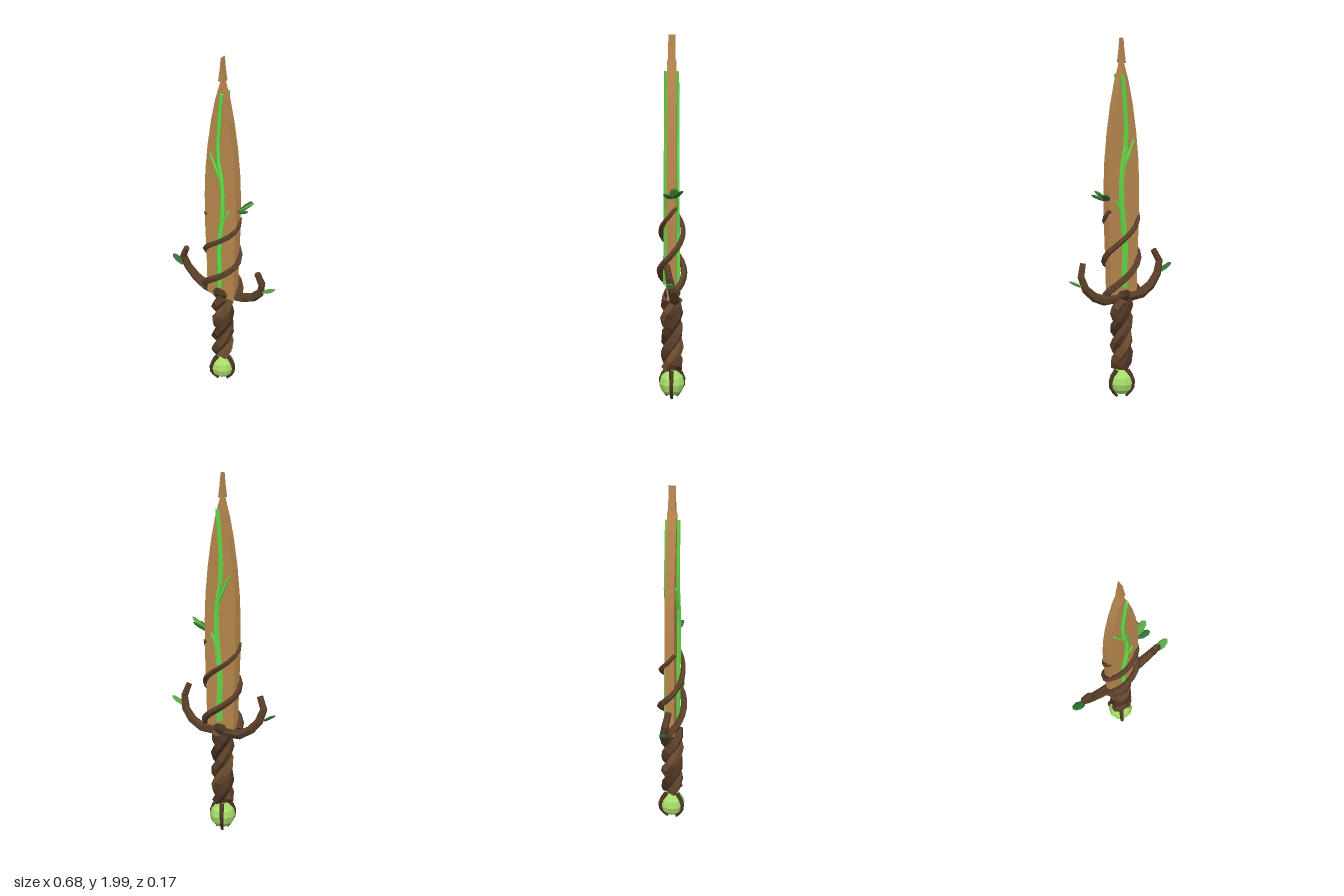
import * as THREE from 'three';

const mat = (color) => new THREE.MeshStandardMaterial({ color, flatShading: true });
const M = {
  wood: mat(0xb8874e), bark: mat(0x5a3f29), barkDark: mat(0x4a3323), barkLight: mat(0x6b4a2d),
  vein: mat(0x63d846), bulb: mat(0xa6dc68), leaf: mat(0x57a545), leafDark: mat(0x2f7035),
};
const V = (p) => new THREE.Vector3(...p);

function add(parent, name, geometry, material) {
  const mesh = new THREE.Mesh(geometry, material);
  mesh.name = name;
  parent.add(mesh);
  return mesh;
}

// Capped, tapering low-poly branch through the given points
function branch(points, r0, r1, segments, sides = 6) {
  const curve = new THREE.CatmullRomCurve3(points.map(V));
  const geo = new THREE.TubeGeometry(curve, segments, 1, sides, false);
  const pos = geo.attributes.position, p = new THREE.Vector3();
  const index = Array.from(geo.index.array);
  for (let j = 0; j <= segments; j++) {
    const t = j / segments, c = curve.getPointAt(t), r = r0 + (r1 - r0) * t;
    for (let i = 0; i <= sides; i++) {
      const k = j * (sides + 1) + i;
      p.fromBufferAttribute(pos, k).sub(c).multiplyScalar(r).add(c);
      pos.setXYZ(k, p.x, p.y, p.z);
    }
  }
  const end = segments * (sides + 1);
  for (let i = 1; i < sides - 1; i++) {
    index.push(0, i, i + 1, end, end + i + 1, end + i);
  }
  geo.setIndex(index);
  geo.computeVertexNormals();
  return geo;
}

// Flat, pointed leaf running from base to tip
function leaf(parent, name, base, tip, width, material) {
  const a = V(base), b = V(tip), dir = b.clone().sub(a), length = dir.length();
  dir.normalize();
  const side = dir.clone().cross(new THREE.Vector3(0, 1, 0)).normalize();
  const mesh = add(parent, name, new THREE.SphereGeometry(0.5, 6, 4), material);
  mesh.quaternion.setFromRotationMatrix(
    new THREE.Matrix4().makeBasis(side, dir, side.clone().cross(dir)));
  mesh.scale.set(width, length, 0.018);
  mesh.position.copy(a).add(b).multiplyScalar(0.5);
}

// Slab cut from a half outline [halfWidth, y], mirrored in x
function slab(half, depth) {
  const outline = [...half, ...half.filter(([x]) => x > 0).reverse().map(([x, y]) => [-x, y])];
  const shape = new THREE.Shape(outline.map(([x, y]) => new THREE.Vector2(x, y)));
  return new THREE.ExtrudeGeometry(shape, { depth, bevelEnabled: false }).translate(0, 0, -depth / 2);
}

export function createModel() {
  const model = new THREE.Group();
  model.name = 'woodenSword';

  // Blade and its separate tip
  add(model, 'blade', slab([[0.085, 0.58], [0.09, 0.8], [0.098, 1.0], [0.1, 1.2], [0.094, 1.35],
    [0.079, 1.5], [0.056, 1.65], [0.03, 1.77], [0, 1.87]], 0.05), M.wood);
  add(model, 'bladeTip', slab([[0.016, 1.87], [0.006, 1.94], [0, 2.0]], 0.038), M.wood);

  // Glowing veins on both faces
  for (const s of [1, -1]) {
    const veins = new THREE.Group();
    veins.name = s > 0 ? 'frontVeins' : 'backVeins';
    const z = 0.03 * s;
    const path = [[0, 0.65], [0, 0.8], [-0.005, 0.9], [0.01, 1.02], [0.02, 1.17], [0.016, 1.3],
      [-0.006, 1.42], [-0.01, 1.53], [0, 1.66], [0.004, 1.73], [0.014, 1.81]];
    add(veins, 'mainVein', branch(path.map(([x, y]) => [x, y, z]), 0.018, 0.011, 12, 5), M.vein);
    add(veins, 'upperVein', branch([[0.012, 1.31, z], [-0.025, 1.38, z], [-0.06, 1.46, z]], 0.011, 0.006, 2, 5), M.vein);
    add(veins, 'lowerVein', branch([[0.008, 1.02, z], [0.03, 1.09, z], [0.056, 1.14, z]], 0.011, 0.006, 2, 5), M.vein);
    model.add(veins);
  }

  // Two vines spiralling up opposite sides of the blade
  for (const s of [1, -1]) {
    const points = [];
    for (let i = 0; i <= 17; i++) {
      const a = (i / 17) * Math.PI * 2.15, t = i / 17;
      points.push([-s * (0.108 - 0.004 * t) * Math.cos(a),
        0.61 + 0.48 * t, s * (0.069 - 0.012 * t) * Math.sin(a)]);
    }
    add(model, s > 0 ? 'vineA' : 'vineB', branch(points, 0.021, 0.012, 17, 5), M.bark);
  }
  leaf(model, 'vineLeafMiddle', [0.1, 1.14, -0.01], [0.185, 1.21, -0.02], 0.05, M.leaf);
  leaf(model, 'vineLeafBack', [0.1, 1.14, -0.01], [0.15, 1.19, -0.062], 0.045, M.leafDark);
  leaf(model, 'vineLeafFront', [0.1, 1.14, 0.0], [0.175, 1.175, 0.033], 0.045, M.leafDark);

  // Guard: two upturned branches, each with a leaf, and a central knot
  const leftArm = [[-0.02, 0.6, 0], [0.12, 0.59, -0.02], [0.225, 0.65, -0.012], [0.26, 0.735, 0.005], [0.238, 0.81, 0.02]];
  const rightArm = [[0.02, 0.6, 0], [-0.11, 0.585, -0.015], [-0.22, 0.655, -0.01], [-0.262, 0.75, 0.005], [-0.23, 0.815, 0.018]];
  add(model, 'leftGuard', branch(leftArm, 0.034, 0.017, 6), M.bark);
  add(model, 'rightGuard', branch(rightArm, 0.034, 0.017, 6), M.bark);
  leaf(model, 'leftGuardLeaf', [0.255, 0.685, 0], [0.34, 0.73, 0], 0.05, M.leaf);
  leaf(model, 'rightGuardLeaf', [-0.255, 0.685, 0], [-0.34, 0.73, 0], 0.05, M.leafDark);
  const knot = add(model, 'guardKnot', new THREE.SphereGeometry(0.06, 8, 4), M.barkDark);
  knot.scale.set(1, 0.65, 0.8);
  knot.position.y = 0.6;

  // Grip of three twisted strands around a core
  add(model, 'gripCore', new THREE.CylinderGeometry(0.035, 0.035, 0.42, 6).translate(0, 0.38, 0), M.barkDark);
  const strandMats = [M.bark, M.barkLight, M.barkDark];
  for (let k = 0; k < 3; k++) {
    const points = [];
    for (let i = 0; i <= 12; i++) {
      const a = (k / 3) * Math.PI * 2 + (i / 12) * Math.PI * 2.7;
      points.push([-0.036 * Math.cos(a), 0.18 + 0.4 * (i / 12), 0.036 * Math.sin(a)]);
    }
    add(model, 'gripStrand' + (k + 1), branch(points, 0.03, 0.03, 10, 5), strandMats[k]);
  }

  // Bulb pommel held by three claws
  const bulb = add(model, 'pommel', new THREE.SphereGeometry(0.072, 10, 6), M.bulb);
  bulb.position.y = 0.091;
  for (let k = 0; k < 3; k++) {
    const claw = add(model, 'pommelClaw' + (k + 1), branch([[0.035, 0.165, 0], [0.066, 0.125, 0],
      [0.074, 0.08, 0], [0.05, 0.035, 0], [0.03, 0.012, 0]], 0.014, 0.008, 5, 5), M.barkDark);
    claw.rotation.y = (k / 3) * Math.PI * 2;
  }
  return model;
}
